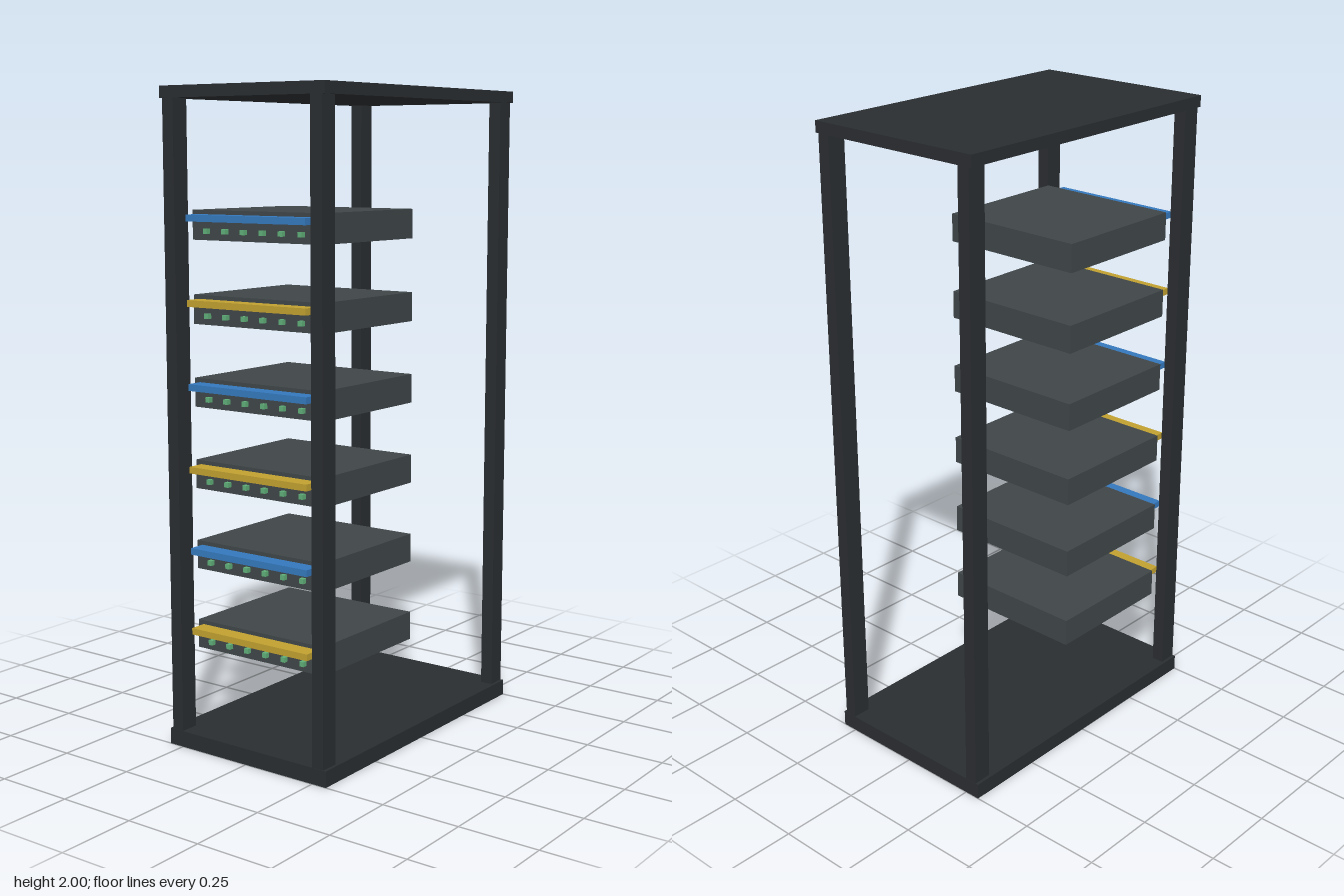
import * as THREE from 'three';

const material = (color) => new THREE.MeshStandardMaterial({ color });

export function createModel() {
  const model = new THREE.Group();
  model.name = 'equipmentRack';

  const frame = material(0x2a2d30);
  const casing = material(0x3f4648);
  const blue = material(0x3478bd);
  const yellow = material(0xc0a030);
  const green = material(0x5fae78);

  const box = (parent, name, mat, size, position) => {
    const mesh = new THREE.Mesh(new THREE.BoxGeometry(...size), mat);
    mesh.name = name;
    mesh.position.set(...position);
    parent.add(mesh);
  };

  // Base and roof plates
  box(model, 'basePlate', frame, [0.6, 0.05, 1], [0, 0.025, 0]);
  box(model, 'topPlate', frame, [0.6, 0.035, 1], [0, 1.9825, 0]);

  // Corner posts
  for (const x of [-1, 1]) {
    for (const z of [-1, 1]) {
      const name = (z > 0 ? 'front' : 'back') + (x > 0 ? 'Left' : 'Right') + 'Post';
      box(model, name, frame, [0.04, 1.915, 0.06], [x * 0.27, 1.0075, z * 0.469]);
    }
  }

  // Six stacked units, each with a coloured front bar and a row of lights
  for (let i = 0; i < 6; i++) {
    const unit = new THREE.Group();
    unit.name = `unit${i + 1}`;
    unit.position.y = 0.348 + i * 0.25;
    box(unit, 'casing', casing, [0.48, 0.088, 0.45], [0, 0, 0.205]);
    box(unit, 'frontBar', i % 2 ? blue : yellow, [0.44, 0.02, 0.055], [0, 0.022, 0.4555]);
    for (let j = 0; j < 6; j++) {
      box(unit, 'indicatorLight', green, [0.015, 0.015, 0.02], [-0.18 + j * 0.07, -0.017, 0.435]);
    }
    model.add(unit);
  }

  return model;
}
